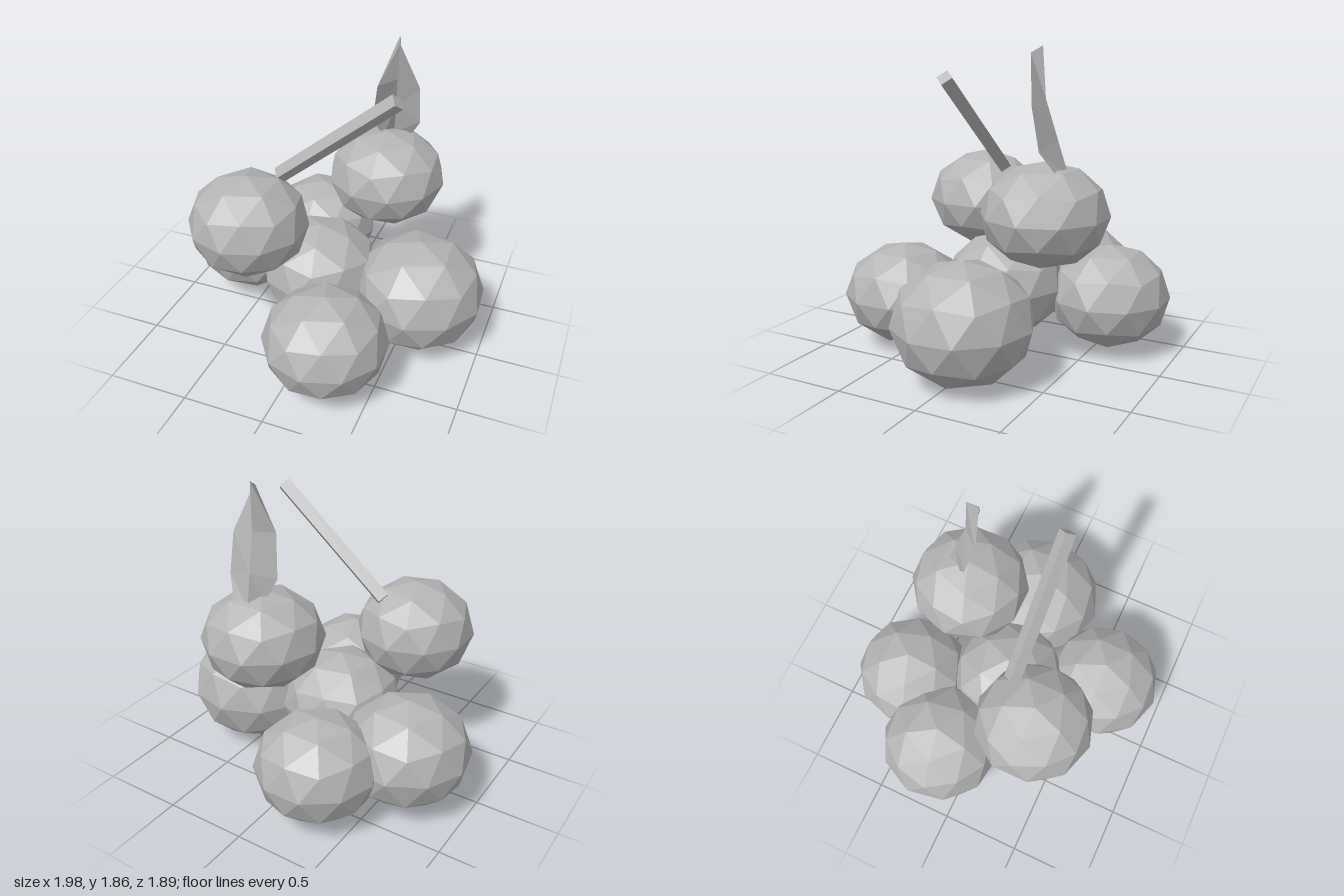
import * as THREE from 'three';

export function createModel() {
  const group = new THREE.Group();
  const grey = new THREE.MeshStandardMaterial({ color: 0xb4b4b4, flatShading: true, side: THREE.DoubleSide });
  grey.name = 'berry grey';

  const add = (geometry, name) => {
    const mesh = new THREE.Mesh(geometry, grey);
    mesh.name = name;
    group.add(mesh);
    return mesh;
  };

  // Berries: faceted spheres with a vertex at each pole, flattened in height
  // name, centre x y z, radius, half height, turn about y in degrees
  const berries = [
    ['frontBerry', 0.215, 0.34, 0.58, 0.372, 0.31, 0],
    ['leftBerry', 0.585, 0.36, -0.05, 0.41, 0.355, 4],
    ['rightBerry', -0.62, 0.37, -0.2, 0.38, 0.325, 10],
    ['backBerry', -0.26, 0.355, -0.59, 0.365, 0.315, 18],
    ['middleBerry', -0.04, 0.41, 0.01, 0.37, 0.32, 30],
    ['upperFrontBerry', -0.37, 0.86, 0.33, 0.36, 0.31, 0],
    ['upperBackBerry', 0.25, 0.938, -0.385, 0.365, 0.298, 18],
  ];
  for (const [name, x, y, z, radius, halfHeight, turn] of berries) {
    const g = new THREE.IcosahedronGeometry(1, 1);
    g.rotateZ(Math.atan(2 / (1 + Math.sqrt(5))));
    g.rotateY(THREE.MathUtils.degToRad(turn));
    g.scale(radius, halfHeight, radius);
    add(g, name).position.set(x, y, z);
  }

  // Stem: slanted four-sided rod
  const start = new THREE.Vector3(-0.25, 1.1, 0.132);
  const end = new THREE.Vector3(0.45, 1.685, 0.132);
  const stem = add(new THREE.CylinderGeometry(0.05, 0.05, start.distanceTo(end), 4), 'stem');
  stem.position.copy(start).lerp(end, 0.5);
  stem.quaternion.setFromUnitVectors(new THREE.Vector3(0, 1, 0), end.clone().sub(start).normalize());

  // Leaf: rows of right edge, midrib and left edge, folded along the midrib
  const rows = [
    [[0.2, 1.18, -0.43], [0.245, 1.17, -0.52], [0.37, 1.2, -0.49]],
    [[0.152, 1.31, -0.36], [0.265, 1.36, -0.465], [0.432, 1.31, -0.43]],
    [[0.195, 1.56, -0.3], [0.285, 1.58, -0.4], [0.43, 1.55, -0.385]],
    [[0.31, 1.82, -0.32], [0.295, 1.86, -0.385], [0.318, 1.82, -0.325]],
  ];
  const index = [];
  for (let r = 0; r < rows.length - 1; r++) {
    for (let c = 0; c < 2; c++) {
      const a = r * 3 + c;
      index.push(a, a + 1, a + 4, a, a + 4, a + 3);
    }
  }
  const leaf = new THREE.BufferGeometry();
  leaf.setAttribute('position', new THREE.Float32BufferAttribute(rows.flat(2), 3));
  leaf.setIndex(index);
  leaf.computeVertexNormals();
  add(leaf, 'leaf');

  return group;
}
